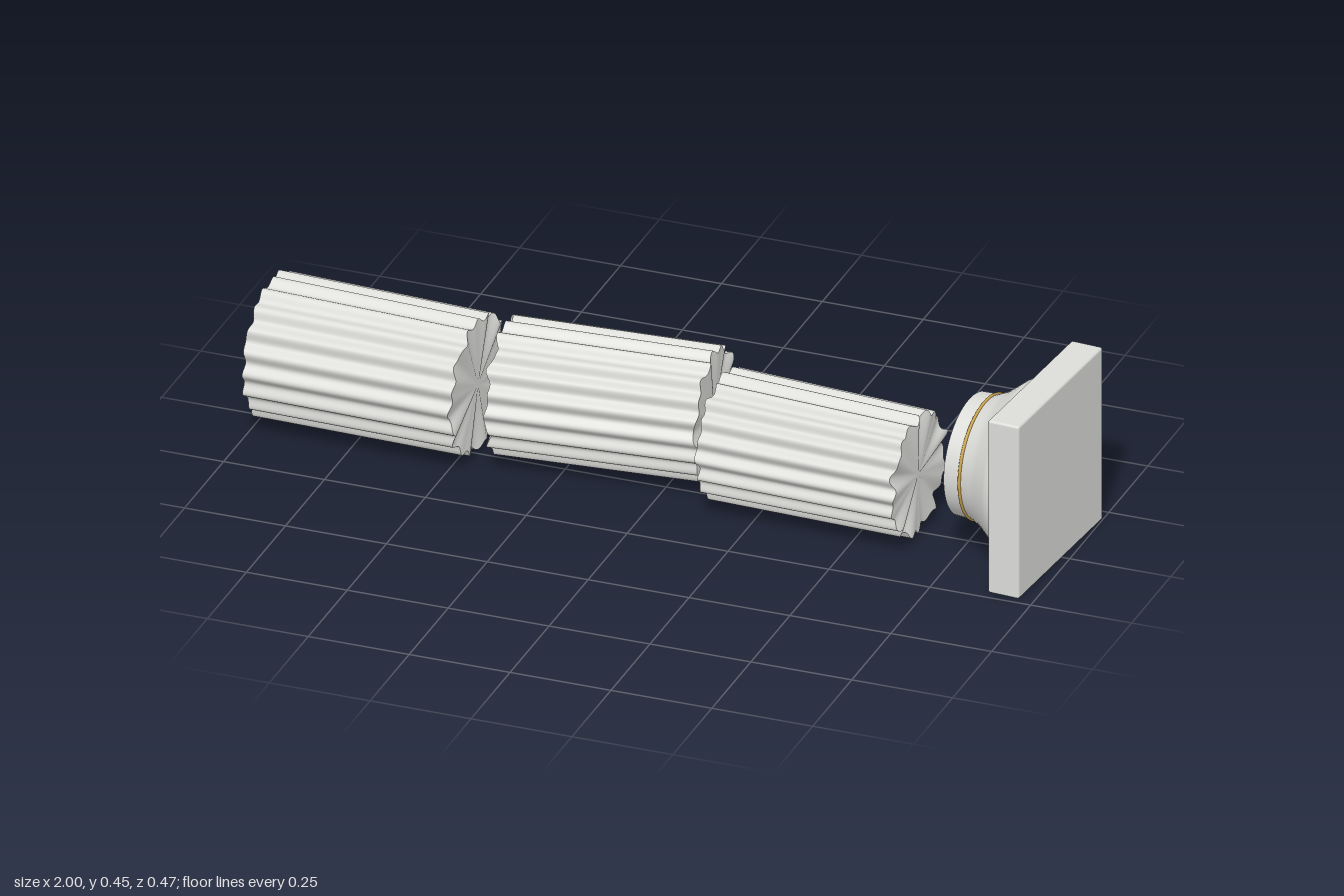
import * as THREE from 'three';
import { RoundedBoxGeometry } from 'three/addons/geometries/RoundedBoxGeometry.js';

const FLUTES = 20;
const SEGMENTS = FLUTES * 10;

// Fluted, slightly tapered drum lying along x, with uneven broken ends
function drumGeometry(length, rLeft, rRight, chipLeft, chipRight, phase) {
  const positions = [];
  const index = [];
  const ring = (x, radius, chip, shift) => {
    const start = positions.length / 3;
    for (let i = 0; i < SEGMENTS; i++) {
      const a = (i / SEGMENTS) * Math.PI * 2;
      const r = radius - 0.007 * (1 - Math.cos(FLUTES * a));
      const wobble = chip * (0.65 * Math.sin(9 * a + shift) + 0.35 * Math.sin(14 * a + 2 * shift));
      positions.push(x + wobble, r * Math.cos(a), r * Math.sin(a));
    }
    return start;
  };
  const centre = (x) => positions.push(x, 0, 0) / 3 - 1;
  const h = length / 2;
  const left = ring(-h, rLeft, chipLeft, phase);
  const right = ring(h, rRight, chipRight, phase + 2);
  // Ends use their own vertices so the rims stay sharp
  const capL = ring(-h, rLeft, chipLeft, phase);
  const capR = ring(h, rRight, chipRight, phase + 2);
  const cL = centre(-h);
  const cR = centre(h);
  for (let i = 0; i < SEGMENTS; i++) {
    const j = (i + 1) % SEGMENTS;
    index.push(left + i, left + j, right + i, left + j, right + j, right + i);
    index.push(cL, capL + j, capL + i, cR, capR + i, capR + j);
  }
  const geometry = new THREE.BufferGeometry();
  geometry.setAttribute('position', new THREE.Float32BufferAttribute(positions, 3));
  geometry.setIndex(index);
  geometry.computeVertexNormals();
  return geometry;
}

export function createModel() {
  const model = new THREE.Group();
  model.name = 'fallenColumn';
  const stone = new THREE.MeshStandardMaterial({ color: 0xdcdcd9 });
  stone.name = 'paleStone';
  const gold = new THREE.MeshStandardMaterial({ color: 0xc9a14a });
  gold.name = 'gold';

  const add = (parent, name, geometry, material) => {
    const mesh = new THREE.Mesh(geometry, material);
    mesh.name = name;
    parent.add(mesh);
    return mesh;
  };

  // Three shaft drums, thinner toward the capital
  const drums = [
    { name: 'lowerDrum', x: -0.727, y: 0.18, z: -0.014, length: 0.52, r: [0.174, 0.17], chip: [0.004, 0.008], yaw: -0.037 },
    { name: 'middleDrum', x: -0.162, y: 0.172, z: -0.059, length: 0.505, r: [0.165, 0.162], chip: [0.009, 0.007], yaw: 0.073 },
    { name: 'upperDrum', x: 0.387, y: 0.165, z: 0.008, length: 0.495, r: [0.158, 0.152], chip: [0.005, 0.009], yaw: -0.06 },
  ];
  drums.forEach((d, i) => {
    const geometry = drumGeometry(d.length, d.r[0], d.r[1], d.chip[0], d.chip[1], 1 + i * 1.7);
    const mesh = add(model, d.name, geometry, stone);
    mesh.position.set(d.x, d.y, d.z);
    mesh.rotation.y = d.yaw;
  });

  // Capital, modelled upright along y and then tipped onto its side
  const capital = new THREE.Group();
  capital.name = 'capital';
  const upright = new THREE.Group();
  upright.name = 'capitalParts';
  upright.rotation.z = -Math.PI / 2;
  capital.add(upright);
  capital.position.set(0.942, 0.226, 0.007);
  capital.rotation.y = -0.078;
  model.add(capital);

  // Square slab
  add(upright, 'abacus', new RoundedBoxGeometry(0.448, 0.08, 0.45, 3, 0.006), stone);

  // Neck
  const neck = add(upright, 'neck', new THREE.CylinderGeometry(0.15, 0.147, 0.06, 64), stone);
  neck.position.y = -0.16;

  // Thin ring around the neck
  const band = add(upright, 'neckRing', new THREE.TorusGeometry(0.149, 0.004, 10, 64), gold);
  band.rotation.x = Math.PI / 2;
  band.position.y = -0.149;

  // Flared cushion under the slab
  const profile = new THREE.SplineCurve([
    [0.15, -0.143], [0.156, -0.13], [0.168, -0.108], [0.19, -0.08], [0.207, -0.058], [0.215, -0.036],
  ].map(([r, y]) => new THREE.Vector2(r, y))).getPoints(20);
  add(upright, 'echinus', new THREE.LatheGeometry(profile, 64), stone);

  return model;
}
